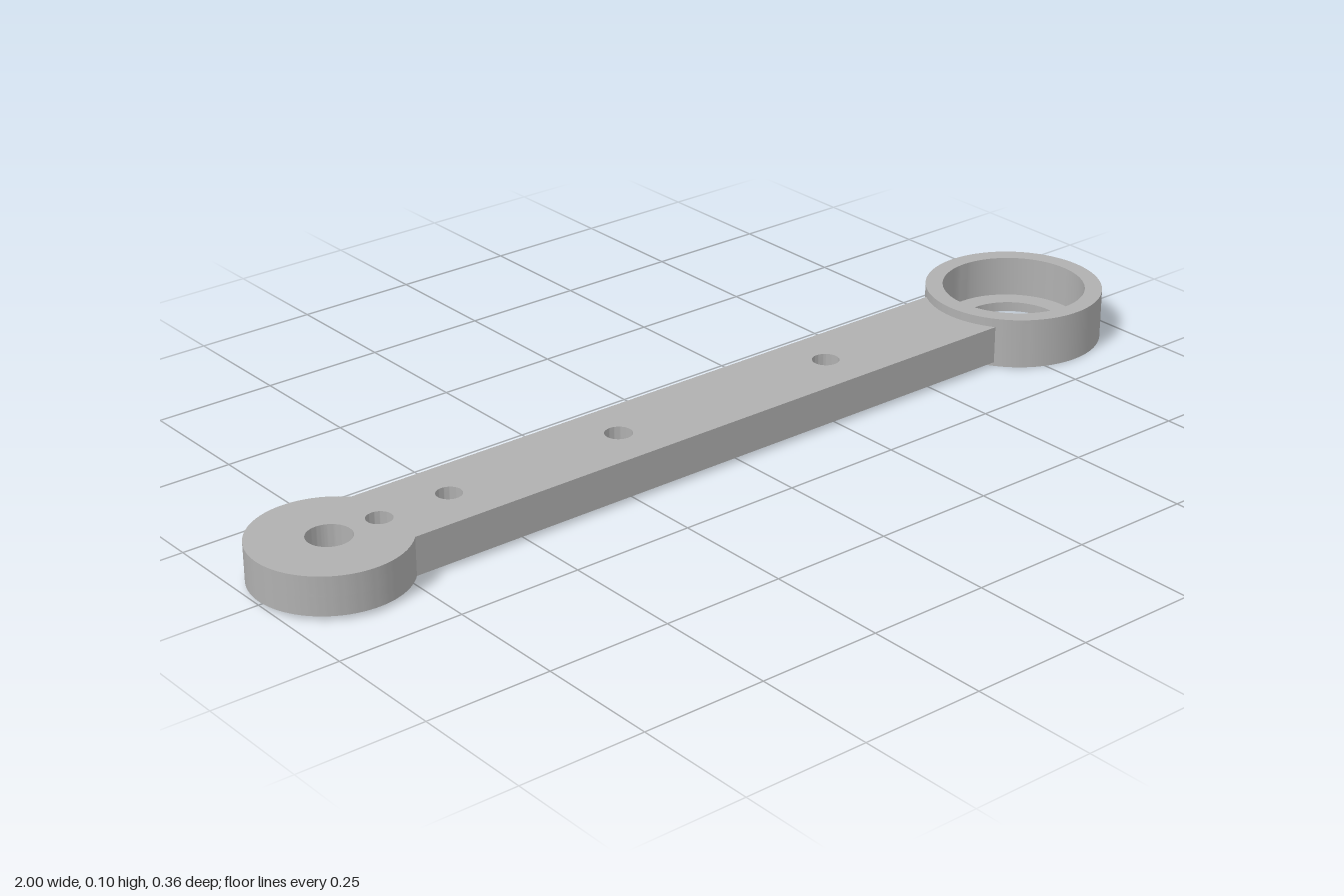
import * as THREE from 'three';
import { toCreasedNormals } from 'three/addons/utils/BufferGeometryUtils.js';

const SEG = 48;
const EYE = { x: -0.85, r: 0.15 };   // small round end
const RING = { x: 0.82, r: 0.18 };   // bearing housing
const HALF_WIDTH = 0.1;

function hole(x, r) {
  const path = new THREE.Path();
  path.absarc(x, 0, r, 0, Math.PI * 2, true);
  return path;
}

// Round end blending into a straight bar whose far end is cut to sit inside the housing wall
function armOutline(holes) {
  const shape = new THREE.Shape();
  const a = Math.asin(HALF_WIDTH / EYE.r);
  shape.absarc(EYE.x, 0, EYE.r, a, Math.PI * 2 - a, false);
  const seatR = RING.r - 0.015;
  const b = Math.asin(HALF_WIDTH / seatR);
  shape.absarc(RING.x, 0, seatR, Math.PI + b, Math.PI - b, true);
  shape.closePath();
  shape.holes = holes.map(([x, r]) => hole(x, r));
  return shape;
}

function armLayer(name, y0, y1, holes, material) {
  const geo = new THREE.ExtrudeGeometry(armOutline(holes), {
    depth: y1 - y0, bevelEnabled: false, curveSegments: SEG,
  });
  geo.rotateX(-Math.PI / 2);
  geo.translate(0, y0, 0);
  const mesh = new THREE.Mesh(toCreasedNormals(geo, 0.5), material);
  mesh.name = name;
  return mesh;
}

export function createModel() {
  const group = new THREE.Group();
  group.name = 'linkArm';
  const metal = new THREE.MeshStandardMaterial({ color: 0xb0b0b0 });
  metal.name = 'grey metal';

  // Lower half: pivot hole and wide counterbores
  group.add(armLayer('armLower', 0.008, 0.045,
    [[EYE.x, 0.043], [-0.745, 0.036], [-0.595, 0.036]], metal));

  // Upper half: pivot hole, narrow screw holes and two blind holes
  group.add(armLayer('armUpper', 0.045, 0.085,
    [[EYE.x, 0.043], [-0.745, 0.025], [-0.595, 0.025], [-0.21, 0.027], [0.305, 0.027]], metal));

  // Housing with a stepped bore
  const profile = [
    [0.104, 0], [RING.r, 0], [RING.r, 0.103], [0.145, 0.103],
    [0.145, 0.02], [0.104, 0.02], [0.104, 0],
  ].map(([r, y]) => new THREE.Vector2(r, y));
  const housing = new THREE.Mesh(
    toCreasedNormals(new THREE.LatheGeometry(profile, 96), 0.5), metal);
  housing.name = 'bearingHousing';
  housing.position.x = RING.x;
  group.add(housing);

  return group;
}
